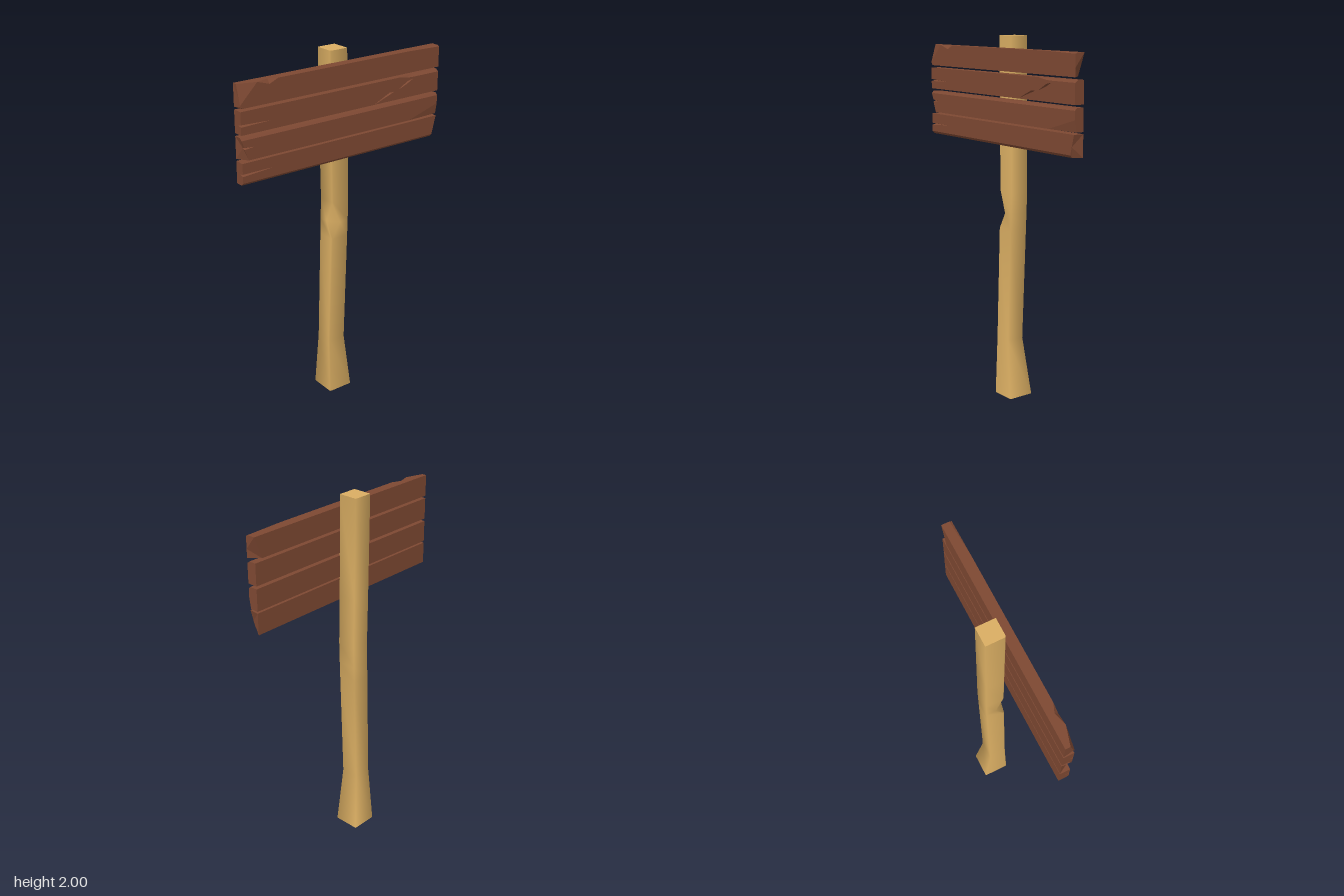
import * as THREE from 'three';

// Skin a list of equal-length rings of [x, y, z]; caps are fans from point 0.
function loft(rings, smooth) {
  const n = rings[0].length, last = rings.length - 1;
  const pos = rings.flat(2), index = [];
  for (let i = 0; i < last; i++) {
    for (let j = 0; j < n; j++) {
      const a = i * n + j, b = i * n + (j + 1) % n;
      index.push(a, a + n, b + n, a, b + n, b);
    }
  }
  const start = pos.length / 3;
  pos.push(...rings[0].flat(), ...rings[last].flat());
  for (let j = 1; j < n - 1; j++) {
    index.push(start, start + j, start + j + 1);
    index.push(start + n, start + n + j + 1, start + n + j);
  }
  let g = new THREE.BufferGeometry();
  g.setAttribute('position', new THREE.Float32BufferAttribute(pos, 3));
  g.setIndex(index);
  if (!smooth) g = g.toNonIndexed();
  g.computeVertexNormals();
  return g;
}

const HALF = 0.63, BACK = 0.037, FRONT = 0.093;

// Cross-section of a plank: front edges may be chipped, the face may be split.
function plankRing(y0, y1, s) {
  const { x, top = [0, 0], bottom = [0, 0], split = 0, at = 0.4, ends = [0, 0, 0, 0] } = s;
  const lo = y0 + bottom[0], hi = y1 - top[0];
  const gy = lo + (hi - lo) * at, w = split ? 0.006 : 0.001;
  const [backLow, frontLow, frontHigh, backHigh] = ends; // end-grain insets
  const inset = -Math.sign(x);
  const mid = frontLow + (frontHigh - frontLow) * at;
  return [
    [x + inset * mid, gy, FRONT - split],
    [x + inset * mid, Math.min(hi, gy + w), FRONT],
    [x + inset * frontHigh, hi, FRONT],
    [x + inset * frontHigh, y1, FRONT - top[1]],
    [x + inset * backHigh, y1, BACK],
    [x + inset * backLow, y0, BACK],
    [x + inset * frontLow, y0, FRONT - bottom[1]],
    [x + inset * frontLow, lo, FRONT],
    [x + inset * mid, Math.max(lo, gy - w), FRONT],
  ];
}

export function createModel() {
  const group = new THREE.Group();
  const postWood = new THREE.MeshStandardMaterial({ color: 0xd9ad62 });
  const plankWood = new THREE.MeshStandardMaterial({ color: 0x7d4832, flatShading: true });

  // Crooked post: y, x range, z range, cut of the front right corner
  const postSections = [
    [0, -0.075, 0.07, -0.092, 0.055, 0.006],
    [0.33, -0.073, 0.03, -0.058, 0.043, 0.006],
    [0.96, -0.052, 0.053, -0.064, 0.041, 0.006],
    [1.05, -0.049, 0.056, -0.065, 0.041, 0.052],
    [1.17, -0.045, 0.06, -0.066, 0.04, 0.006],
    [1.45, -0.05, 0.057, -0.067, 0.039, 0.006],
    [2, -0.056, 0.05, -0.07, 0.037, 0.006],
  ];
  const post = new THREE.Mesh(loft(postSections.map(([y, x0, x1, z0, z1, c]) => [
    [x0, y, z0], [x1, y, z0], [x1, y, z1], [x0 + c, y, z1], [x0, y, z1 - c],
  ]), true), postWood);
  post.name = 'post';
  group.add(post);

  // Planks from top to bottom, each with its own chips and splits
  const bevel = [0.012, 0.012], low = [0.014, 0.014];
  const planks = [
    { name: 'topPlank', y: [1.819, 1.936], stations: [
      { x: -HALF, top: [0.1, 0.03], ends: [0, 0.012, 0, 0] },
      { x: -0.53 },
      { x: -0.46, top: [0.022, 0.02] },
      { x: -0.41 },
      { x: 0.41 },
      { x: HALF, top: [0.006, 0.012], ends: [0.045, 0, 0, 0] },
    ] },
    { name: 'upperMiddlePlank', y: [1.687, 1.805], stations: [
      { x: -HALF, split: 0.025, at: 0.4 },
      { x: -0.46, at: 0.38 },
      { x: 0.19, at: 0.02 },
      { x: 0.29, split: 0.015, at: 0.35 },
      { x: 0.32, at: 0.4 },
      { x: 0.35, at: 0.45 },
      { x: 0.41, split: 0.02, at: 0.75, top: [0.01, 0.01] },
      { x: 0.45, at: 0.9, top: [0.012, 0.016] },
      { x: HALF, at: 0.9, top: [0.012, 0.016] },
    ] },
    { name: 'lowerMiddlePlank', y: [1.554, 1.672], stations: [
      { x: -HALF, top: bevel, split: 0.015, at: 0.6, ends: [0, 0.038, 0, 0] },
      { x: -0.56, top: bevel, at: 0.6 },
      { x: 0.43, top: bevel },
      { x: HALF, top: bevel, bottom: [0.06, 0.01] },
    ] },
    { name: 'bottomPlank', y: [1.427, 1.544], stations: [
      { x: -HALF, bottom: low, split: 0.025, at: 0.4 },
      { x: -0.46, bottom: low, at: 0.45 },
      { x: 0.59, bottom: low },
      { x: HALF, bottom: low, ends: [0, 0.03, 0.004, 0] },
    ] },
  ];
  for (const { name, y, stations } of planks) {
    const plank = new THREE.Mesh(loft(stations.map((s) => plankRing(y[0], y[1], s)), false), plankWood);
    plank.name = name;
    group.add(plank);
  }
  return group;
}
